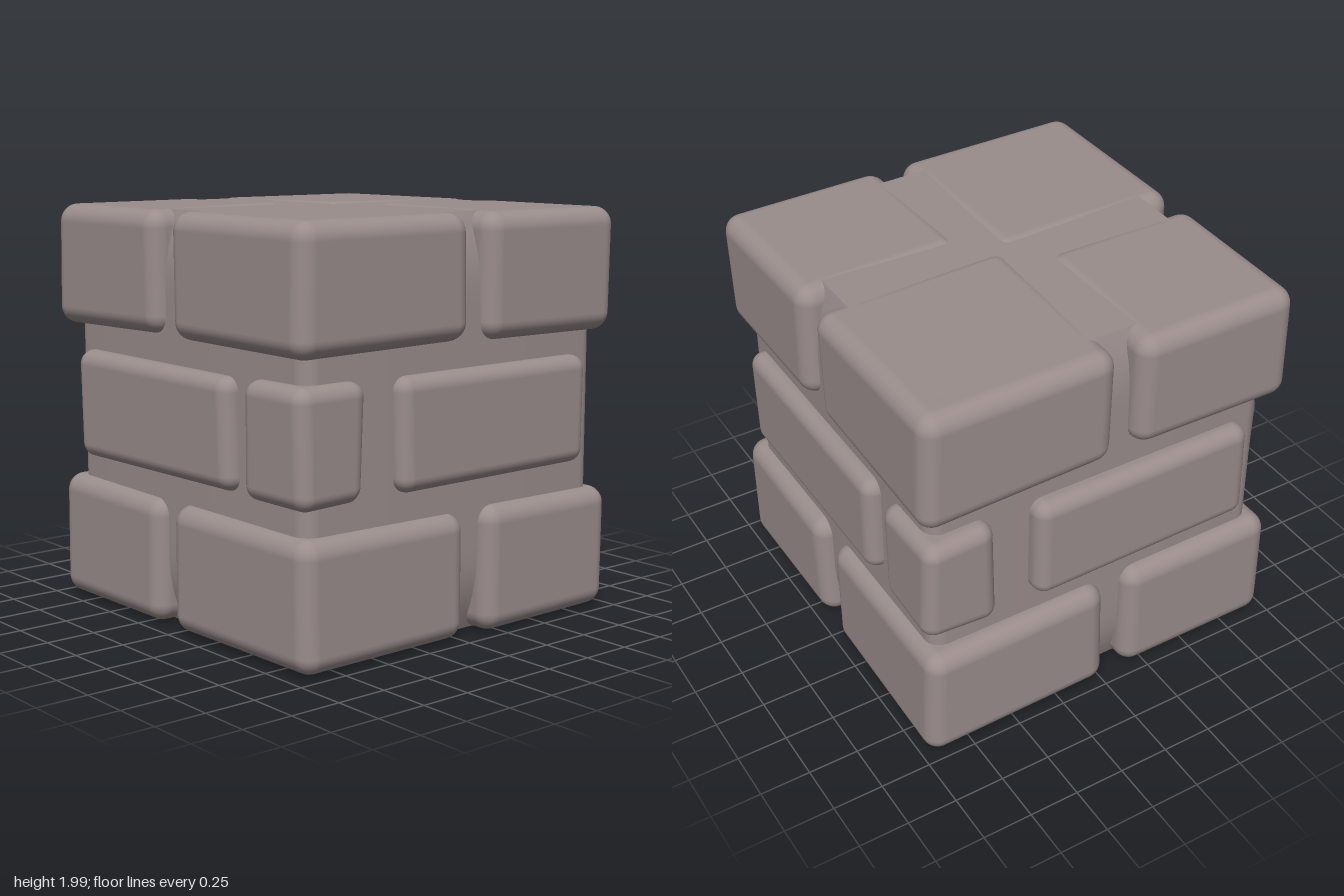
import * as THREE from 'three';
import { toCreasedNormals } from 'three/addons/utils/BufferGeometryUtils.js';
import { RoundedBoxGeometry } from 'three/addons/geometries/RoundedBoxGeometry.js';

const stone = new THREE.MeshStandardMaterial({ color: 0x9a8d8c });
stone.name = 'warm grey stone';

// Small seeded generator for the hand-carved wobble
let seed = 11;
const wobble = (amount) => {
  seed = (seed * 16807) % 2147483647;
  return (seed / 2147483647 - 0.5) * 2 * amount;
};

// Rounded block whose eight corners are nudged; inner corners of the end faces rise a little
function brick(name, [x0, x1], [y0, y1], [z0, z1], radius) {
  const size = new THREE.Vector3(x1 - x0, y1 - y0, z1 - z0);
  const geo = new RoundedBoxGeometry(size.x, size.y, size.z, 5, radius);
  const corners = [];
  for (let i = 0; i < 8; i++) {
    const x = i & 1 ? x1 : x0, y = i & 2 ? y1 : y0, z = i & 4 ? z1 : z0;
    const c = new THREE.Vector3(wobble(0.012), wobble(0.012), wobble(0.012));
    if (y < 0.1 || y > 1.9) {
      const inner = Math.max(Math.abs(x), Math.abs(z)) < 0.5;
      c.y = (inner ? 0.016 : 0.003) * Math.sign(y - 1);
    }
    corners.push(c);
  }
  const pos = geo.attributes.position, p = new THREE.Vector3();
  for (let v = 0; v < pos.count; v++) {
    p.fromBufferAttribute(pos, v);
    const t = p.clone().divide(size).addScalar(0.5);
    corners.forEach((c, i) => {
      const w = (i & 1 ? t.x : 1 - t.x) * (i & 2 ? t.y : 1 - t.y) * (i & 4 ? t.z : 1 - t.z);
      p.addScaledVector(c, w);
    });
    pos.setXYZ(v, p.x, p.y, p.z);
  }
  const mesh = new THREE.Mesh(geo, stone);
  mesh.name = name;
  mesh.position.set((x0 + x1) / 2, (y0 + y1) / 2, (z0 + z1) / 2);
  return mesh;
}

// Mortar core: rounded square column, drawn in towards both ends
function mortarCore() {
  const h = 0.9, r = 0.08, y0 = 0.012, y1 = 1.984;
  const s = new THREE.Shape();
  s.absarc(h - r, h - r, r, 0, Math.PI / 2);
  s.absarc(r - h, h - r, r, Math.PI / 2, Math.PI);
  s.absarc(r - h, r - h, r, Math.PI, Math.PI * 1.5);
  s.absarc(h - r, r - h, r, Math.PI * 1.5, Math.PI * 2);
  let geo = new THREE.ExtrudeGeometry(s, { depth: y1 - y0, steps: 24, bevelEnabled: false, curveSegments: 6 });
  geo.rotateX(-Math.PI / 2).translate(0, y0, 0);
  const pos = geo.attributes.position;
  for (let v = 0; v < pos.count; v++) {
    const end = Math.max(0, Math.abs(pos.getY(v) - 1) - 0.65) / 0.34;
    const k = 1 - 0.09 * end * end;
    pos.setX(v, pos.getX(v) * k + 0.01 * (1 - end));
    pos.setZ(v, pos.getZ(v) * k);
  }
  geo = toCreasedNormals(geo, 0.7);
  const mesh = new THREE.Mesh(geo, stone);
  mesh.name = 'mortarCore';
  return mesh;
}

export function createModel() {
  seed = 11;
  const model = new THREE.Group();
  model.name = 'brickBlock';
  model.add(mortarCore());

  // The layout repeats after half a turn about the vertical axis
  const flip = ([a, b]) => [-b, -a];
  const pair = (name, x, y, z, radius) => {
    model.add(brick(name + 'A', x, y, z, radius));
    model.add(brick(name + 'B', flip(x), y, flip(z), radius));
  };

  // Bottom and top courses: a large and a smaller corner brick, twice each
  for (const [course, y] of [['bottom', [0.02, 0.62]], ['top', [1.4, 1.98]]]) {
    pair(course + 'LargeBrick', [-0.01, 0.98], y, [-0.01, 0.97], 0.085);
    pair(course + 'SmallBrick', [-0.98, -0.125], y, [0.125, 0.97], 0.085);
  }

  // Middle course: corner bricks with long bricks between them
  const mid = [0.75, 1.28];
  pair('middleCornerBrick', [0.55, 0.98], mid, [0.6, 0.97], 0.07);
  pair('middleFrontBrick', [-0.8, 0.44], mid, [0.6, 0.97], 0.07);
  pair('middleSideBrick', [0.6, 0.98], mid, [-0.79, 0.4], 0.07);
  return model;
}
